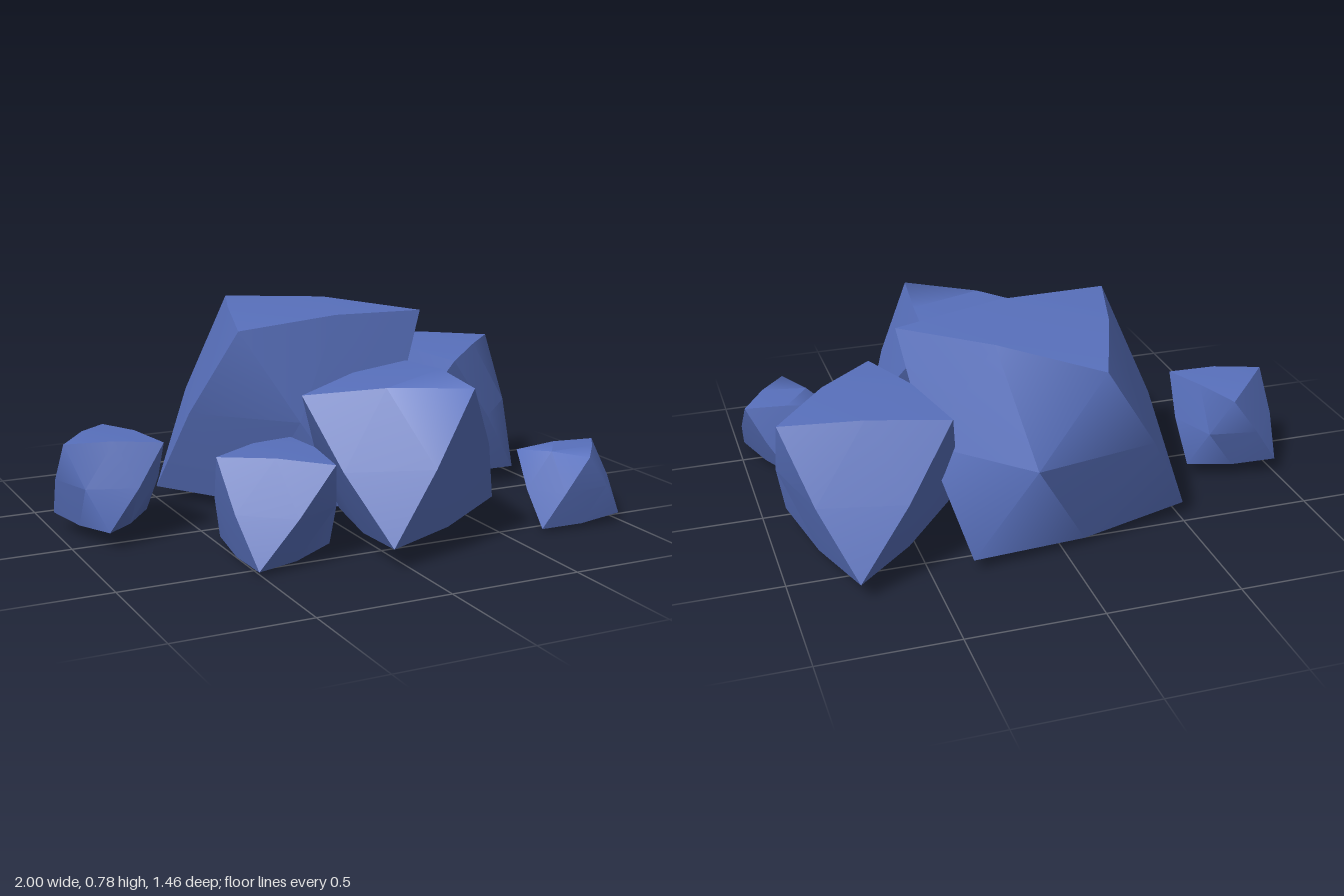
import * as THREE from 'three';
import { toCreasedNormals } from 'three/addons/utils/BufferGeometryUtils.js';

const BULGE = 1.065;
const CREASE = THREE.MathUtils.degToRad(63);

// A rock is a twisted prism: a top triangle and a bottom triangle whose corners
// sit between the top ones. Each face is split in four, edge middles swell outward.
function rockGeometry(top, bottom) {
  const t = top.map((p) => new THREE.Vector3(...p));
  const b = bottom.map((p) => new THREE.Vector3(...p));
  const centre = new THREE.Vector3();
  [...t, ...b].forEach((p) => centre.addScaledVector(p, 1 / 6));

  const middle = (p, q) => p.clone().add(q).multiplyScalar(0.5).sub(centre).multiplyScalar(BULGE).add(centre);
  const faces = [t, b];
  for (let i = 0; i < 3; i++) {
    const j = (i + 1) % 3;
    faces.push([t[i], t[j], b[i]], [b[i], b[j], t[j]]);
  }

  const points = [];
  for (let [p, q, r] of faces) {
    // Turn the face outward
    const normal = q.clone().sub(p).cross(r.clone().sub(p));
    if (normal.dot(p.clone().sub(centre)) < 0) [q, r] = [r, q];
    const pq = middle(p, q), qr = middle(q, r), rp = middle(r, p);
    points.push(p, pq, rp, pq, q, qr, rp, qr, r, pq, qr, rp);
  }
  return toCreasedNormals(new THREE.BufferGeometry().setFromPoints(points), CREASE);
}

const rocks = [
  {
    name: 'largeBackRock',
    top: [[-0.09, 0.765, -0.73], [-0.36, 0.76, 0.05], [0.49, 0.755, -0.11]],
    bottom: [[-0.51, 0.06, -0.46], [0.08, 0.065, 0.165], [0.35, 0.05, -0.61]],
  },
  {
    name: 'frontRock',
    top: [[-0.245, 0.57, 0.35], [0.26, 0.615, 0.69], [0.32, 0.6, 0.085]],
    bottom: [[-0.07, 0.085, 0.725], [0.495, 0.13, 0.45], [0.0, 0.07, 0.16]],
  },
  {
    name: 'leftRock',
    top: [[0.4, 0.58, -0.55], [0.98, 0.57, -0.4], [0.56, 0.57, 0.05]],
    bottom: [[0.77, 0.07, -0.68], [0.92, 0.07, -0.07], [0.33, 0.07, -0.2]],
  },
  {
    name: 'rightRock',
    top: [[-0.57, 0.38, 0.34], [-0.225, 0.37, 0.585], [-0.2, 0.37, 0.155]],
    bottom: [[-0.51, 0.02, 0.57], [-0.14, 0.01, 0.36], [-0.48, 0.02, 0.14]],
  },
  {
    name: 'smallRightRock',
    top: [[-0.77, 0.375, -0.32], [-0.65, 0.37, 0.03], [-1.0, 0.38, -0.06]],
    bottom: [[-0.65, 0.06, -0.18], [-0.88, 0.07, 0.08], [-0.99, 0.07, -0.26]],
  },
  {
    name: 'smallLeftRock',
    top: [[0.8, 0.29, 0.635], [0.99, 0.285, 0.38], [0.665, 0.27, 0.35]],
    bottom: [[0.98, 0.04, 0.585], [0.84, 0.01, 0.31], [0.645, 0.015, 0.57]],
  },
];

export function createModel() {
  const group = new THREE.Group();
  group.name = 'rockCluster';
  const blueStone = new THREE.MeshStandardMaterial({ color: 0x5870bc });
  blueStone.name = 'blueStone';

  for (const { name, top, bottom } of rocks) {
    const rock = new THREE.Mesh(rockGeometry(top, bottom), blueStone);
    rock.name = name;
    group.add(rock);
  }
  return group;
}
